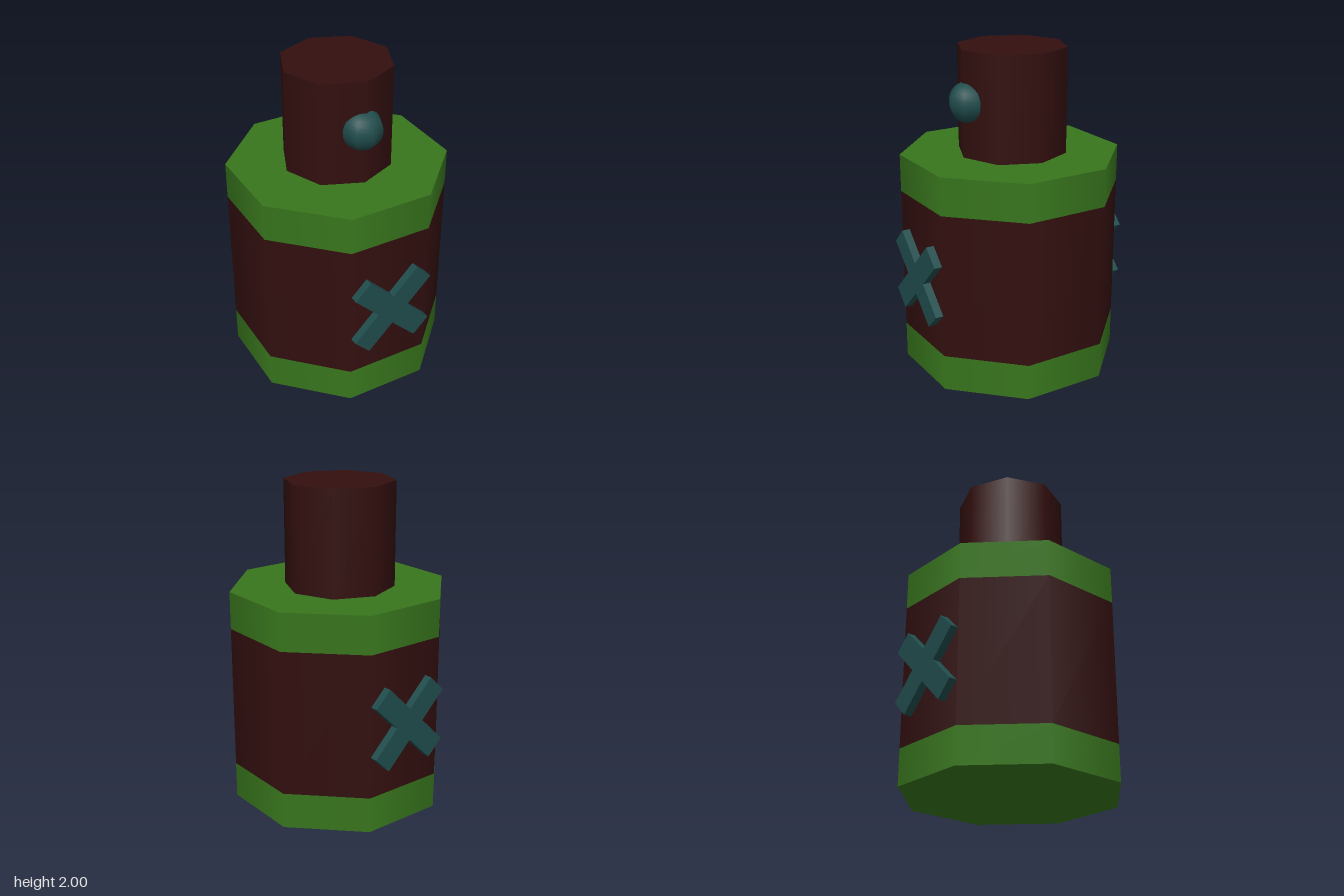
import * as THREE from 'three';

const paint = (color) => new THREE.MeshStandardMaterial({ color });

export function createModel() {
  const group = new THREE.Group();
  const green = paint(0x38761d);
  const brown = paint(0x330f0f);
  const teal = paint(0x204c4c);

  const add = (name, geometry, material, x, y, z) => {
    const mesh = new THREE.Mesh(geometry, material);
    mesh.name = name;
    mesh.position.set(x, y, z);
    group.add(mesh);
    return mesh;
  };

  // Eight-sided drum between two heights, shaded smoothly around its sides
  const drum = (name, radius, y0, y1, material, turn, z = 0, open = false) =>
    add(name, new THREE.CylinderGeometry(radius, radius, y1 - y0, 8, 1, open, turn),
      material, 0, (y0 + y1) / 2, z);

  // Body with a flat side at the front, banded at both ends
  const bodyRadius = 0.677;
  drum('lowerBand', bodyRadius, 0, 0.225, green, Math.PI / 8);
  drum('body', bodyRadius, 0.225, 1.122, brown, Math.PI / 8, 0, true);
  drum('upperBand', bodyRadius, 1.122, 1.355, green, Math.PI / 8);

  // Neck with a corner at the front
  drum('neck', 0.338, 1.355, 2, brown, 0, -0.01);

  // Round knob half sunk into the neck
  add('knob', new THREE.SphereGeometry(0.125, 8, 16), teal, 0, 1.69, 0.285);

  // Raised cross on the front and back, extruded as one outline
  const a = 0.07, l = 0.294;
  const corners = [[a, a], [a, l], [-a, l], [-a, a], [-l, a], [-l, -a],
    [-a, -a], [-a, -l], [a, -l], [a, -a], [l, -a], [l, a]];
  const outline = new THREE.Shape(corners.map(([x, y]) => new THREE.Vector2(x, y)));
  const cross = new THREE.ExtrudeGeometry(outline, { depth: 0.075, bevelEnabled: false });
  cross.rotateZ(Math.PI / 4);
  add('frontCross', cross, teal, 0, 0.648, 0.6);
  add('backCross', cross, teal, 0, 0.648, -0.6).rotation.y = Math.PI;

  return group;
}
